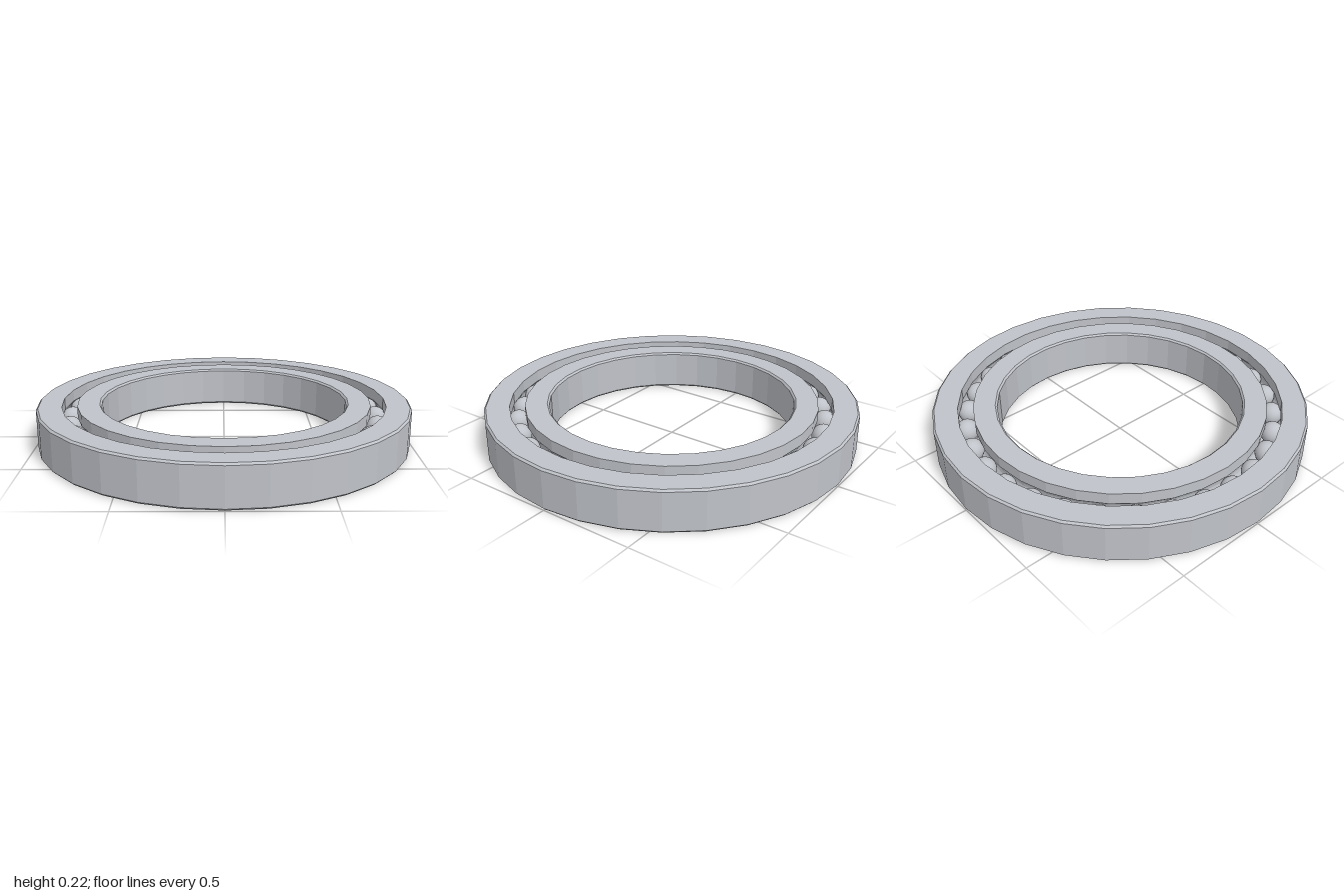
import * as THREE from 'three';

const HEIGHT = 0.22, MID = HEIGHT / 2;
const SIDES = 32, BALLS = 30;
const PITCH = 0.827, BALL_R = 0.061, GROOVE_R = 0.063;
const CHAMFER = 0.01;

// Points of the ball groove cut into the wall at radius r, from bottom to top
function groove(r) {
  const dir = Math.sign(r - PITCH);
  const limit = Math.acos(Math.abs(r - PITCH) / GROOVE_R);
  const points = [];
  for (let i = 0; i <= 6; i++) {
    const a = limit * (i / 3 - 1);
    points.push([PITCH + dir * GROOVE_R * Math.cos(a), MID + GROOVE_R * Math.sin(a)]);
  }
  return points;
}

// Chamfered edge wall at radius r, from bottom to top; side is +1 outward, -1 inward
function chamferedWall(r, side) {
  const s = r - side * CHAMFER;
  return [[s, 0], [r, CHAMFER], [r, HEIGHT - CHAMFER], [s, HEIGHT]];
}

// Closed profile turned into a faceted ring
function ring(name, outerWall, innerWall, material) {
  const loop = [...outerWall, ...innerWall.reverse(), outerWall[0]];
  const geometry = new THREE.LatheGeometry(loop.map(p => new THREE.Vector2(...p)), SIDES).toNonIndexed();
  geometry.computeVertexNormals();
  const mesh = new THREE.Mesh(geometry, material);
  mesh.name = name;
  return mesh;
}

export function createModel() {
  const model = new THREE.Group();
  model.name = 'ballBearing';
  const steel = new THREE.MeshStandardMaterial({ color: 0xc0c3c9 });
  steel.name = 'steel';

  // Outer and inner races, with grooves facing each other
  const raceWall = r => [[r, 0], ...groove(r), [r, HEIGHT]];
  model.add(ring('outerRace', chamferedWall(1, 1), raceWall(0.867), steel));
  model.add(ring('innerRace', raceWall(0.787), chamferedWall(0.66, -1), steel));

  // Balls
  const balls = new THREE.Group();
  balls.name = 'balls';
  const ballGeometry = new THREE.SphereGeometry(BALL_R, 24, 16);
  for (let i = 0; i < BALLS; i++) {
    const a = (i / BALLS) * Math.PI * 2;
    const ball = new THREE.Mesh(ballGeometry, steel);
    ball.name = 'ball';
    ball.position.set(PITCH * Math.cos(a), MID, PITCH * Math.sin(a));
    balls.add(ball);
  }
  model.add(balls);
  return model;
}
